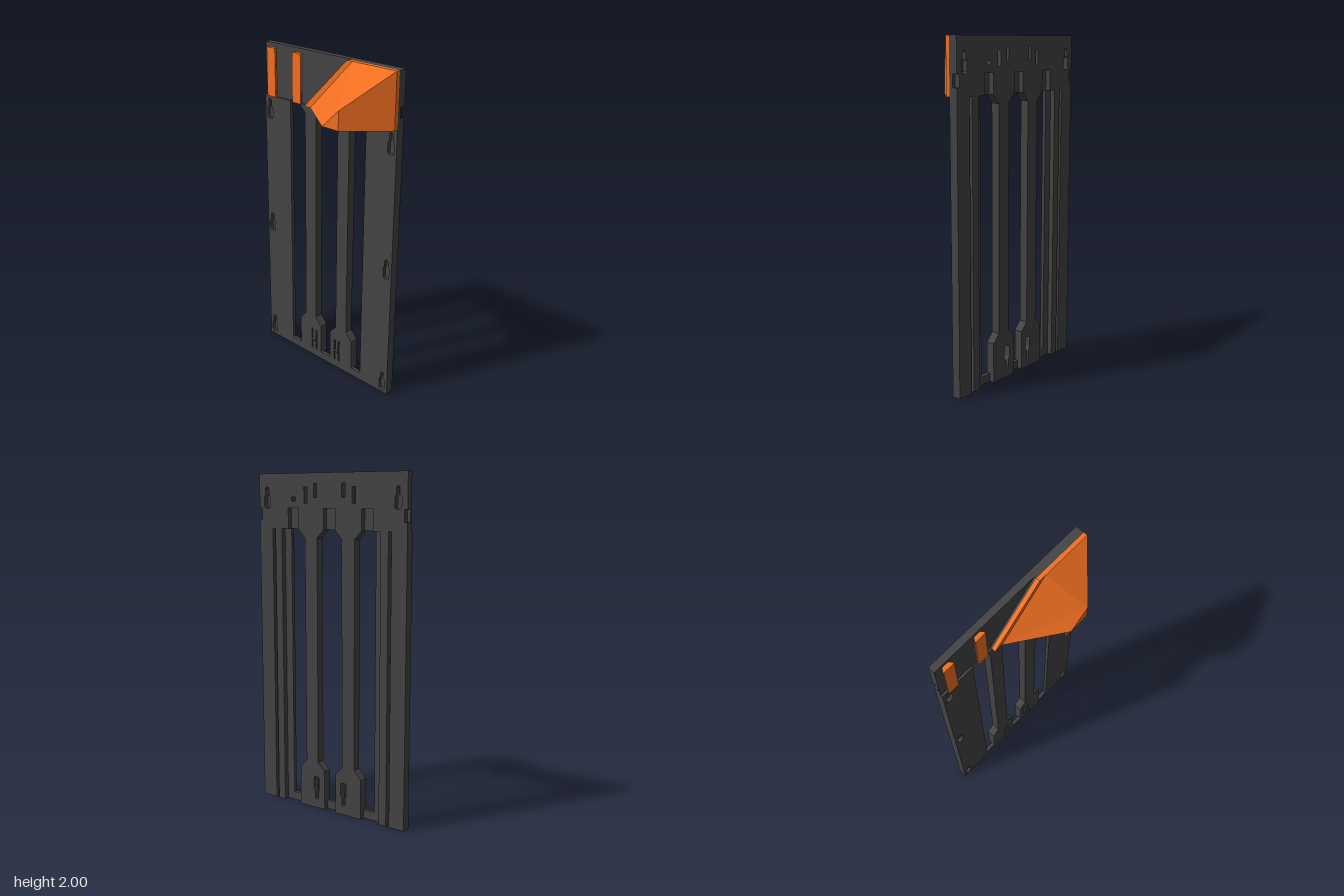
import * as THREE from 'three';

const DARK = new THREE.MeshStandardMaterial({ color: 0x444444, flatShading: true });
const ORANGE = new THREE.MeshStandardMaterial({ color: 0xf37021, flatShading: true });
const BACK = -0.145, MID = -0.115, UPPER = -0.105, FRONT = -0.093, PLATE = -0.07;

const pts = (list) => list.map(([x, y]) => new THREE.Vector2(x, y));
const rect = (x0, x1, y0, y1) => [[x0, y0], [x1, y0], [x1, y1], [x0, y1]];

// keyhole outline: wide foot, tapered shoulders, narrow neck
const keyhole = (x, y, s = 1) => [
  [-0.022, 0.01], [-0.015, 0], [0.015, 0], [0.022, 0.01], [0.022, 0.065], [0.012, 0.08],
  [0.012, 0.115], [0, 0.125], [-0.012, 0.115], [-0.012, 0.08], [-0.022, 0.065],
].map(([px, py]) => [x + px, y + s * py]);

// flat slab between two depths, with optional holes
function slab(group, name, outline, z0, z1, holes = [], material = DARK) {
  const shape = new THREE.Shape(pts(outline));
  for (const h of holes) shape.holes.push(new THREE.Path(pts(h)));
  const geo = new THREE.ExtrudeGeometry(shape, { depth: z1 - z0, bevelEnabled: false });
  geo.translate(0, 0, z0);
  const mesh = new THREE.Mesh(geo, material);
  mesh.name = name;
  group.add(mesh);
  return mesh;
}

// hollow hood, open underneath
function hoodGeometry() {
  const outer = {
    A: [-0.11, 1.68, PLATE], B: [0.21, 2, PLATE], C: [0.52, 2, PLATE], D: [0.52, 1.68, PLATE],
    E: [0.19, 1.68, 0.14], F: [0.31, 1.68, 0.14], G: [0.31, 1.79, 0.14],
  };
  const inner = {
    A: [-0.07, 1.68, PLATE], B: [0.222, 1.972, PLATE], C: [0.492, 1.972, PLATE], D: [0.492, 1.68, PLATE],
    E: [0.2, 1.68, 0.12], F: [0.302, 1.68, 0.12], G: [0.302, 1.782, 0.12],
  };
  const pos = [];
  const face = (p) => {
    for (let i = 1; i < p.length - 1; i++) pos.push(...p[0], ...p[i], ...p[i + 1]);
  };
  for (const f of ['AEGB', 'BGC', 'DCGF', 'EFG']) {
    face([...f].map((k) => outer[k]));
    face([...f].reverse().map((k) => inner[k]));
  }
  for (const [a, b] of ['AE', 'EF', 'FD']) face([outer[a], inner[a], inner[b], outer[b]]);
  const geo = new THREE.BufferGeometry();
  geo.setAttribute('position', new THREE.Float32BufferAttribute(pos, 3));
  geo.computeVertexNormals();
  return geo;
}

export function createModel() {
  const model = new THREE.Group();
  model.name = 'slottedPanel';
  const peep = rect(0.245, 0.275, 1.84, 1.865);

  // side strips with keyholes, and the rails behind them
  for (const s of [-1, 1]) {
    const side = new THREE.Group();
    side.name = s > 0 ? 'leftSide' : 'rightSide';
    const strip = (a, b, y0, y1) => rect(Math.min(s * a, s * b), Math.max(s * a, s * b), y0, y1);
    slab(side, 'sideStrip', strip(0.3, 0.52, 0, 1.68), MID, FRONT,
      [0.02, 0.78, 1.535].map((y) => keyhole(s * 0.48, y)));
    slab(side, 'outerRail', strip(0.42, 0.52, 0, 1.68), BACK, MID);
    slab(side, 'innerRail', strip(0.35, 0.4, 0, 1.68), BACK, MID);

    // post with flared ends
    const cx = s * 0.132;
    const post = [[-0.092, 0], [0.092, 0], [0.092, 0.24], [0.044, 0.29], [0.044, 1.63], [0.092, 1.68],
      [-0.092, 1.68], [-0.044, 1.63], [-0.044, 0.29], [-0.092, 0.24]].map(([x, y]) => [x + cx, y]);
    const slits = [-0.017, 0.017].map((d) => rect(s * 0.1 + d - 0.005, s * 0.1 + d + 0.005, 0.05, 0.195));
    slab(side, 'postFront', post, MID, FRONT, slits);
    slab(side, 'postBack', post, BACK, MID, [keyhole(s * 0.1, 0.195, -1.15)]);

    // small latch between the slits
    const latch = new THREE.Mesh(new THREE.CylinderGeometry(0.01, 0.01, 0.026, 10), DARK);
    latch.name = 'latch';
    latch.rotation.z = Math.PI / 2;
    latch.position.set(s * 0.1, 0.12, FRONT);
    side.add(latch);
    model.add(side);
  }

  // bottom crossbar
  slab(model, 'bottomBar', rect(-0.3, 0.3, 0, 0.05), MID, FRONT);

  // recessed upper board, and its thicker area behind the hood plate
  const slant = [[-0.16, 1.68], [0.52, 1.68], [0.52, 2], [0.17, 2]];
  slab(model, 'upperBoard', rect(-0.52, 0.52, 1.68, 2), MID, UPPER, [peep]);
  slab(model, 'plateBacking', slant, UPPER, FRONT, [peep]);

  // back of the upper board: side notches, pockets from below, and hanging slots
  const half = [[0.04, 1.8], [0.04, 1.68], [0.224, 1.68], [0.224, 1.8], [0.3, 1.8], [0.3, 1.68],
    [0.52, 1.68], [0.52, 1.73], [0.5, 1.73], [0.5, 1.8], [0.52, 1.8], [0.52, 2]];
  const outline = [...half, ...half.map(([x, y]) => [-x, y]).reverse()];
  const slots = [peep];
  for (const s of [-1, 1]) {
    slots.push(keyhole(s * 0.46, 1.8), rect(s * 0.1 - 0.012, s * 0.1 + 0.012, 1.86, 1.94),
      rect(s * 0.17 - 0.012, s * 0.17 + 0.012, 1.83, 1.92));
  }
  slab(model, 'upperBack', outline, BACK, MID, slots);

  // dovetail runners
  for (const x of [-0.45, -0.235]) {
    const profile = new THREE.Shape(pts([[-0.022, 0.105], [0.022, 0.105], [0.035, 0.086],
      [0.035, 0.08], [-0.035, 0.08], [-0.035, 0.086]]));
    const geo = new THREE.ExtrudeGeometry(profile, { depth: 0.295, bevelEnabled: false });
    geo.rotateX(-Math.PI / 2);
    // profile depth runs along -z after the turn
    geo.translate(x, 1.68, 0);
    const runner = new THREE.Mesh(geo, ORANGE);
    runner.name = 'dovetailRunner';
    model.add(runner);
  }

  // slanted plate and hood
  slab(model, 'hoodPlate', slant, FRONT, PLATE, [], ORANGE);
  const hood = new THREE.Mesh(hoodGeometry(), ORANGE);
  hood.name = 'hood';
  model.add(hood);

  return model;
}
